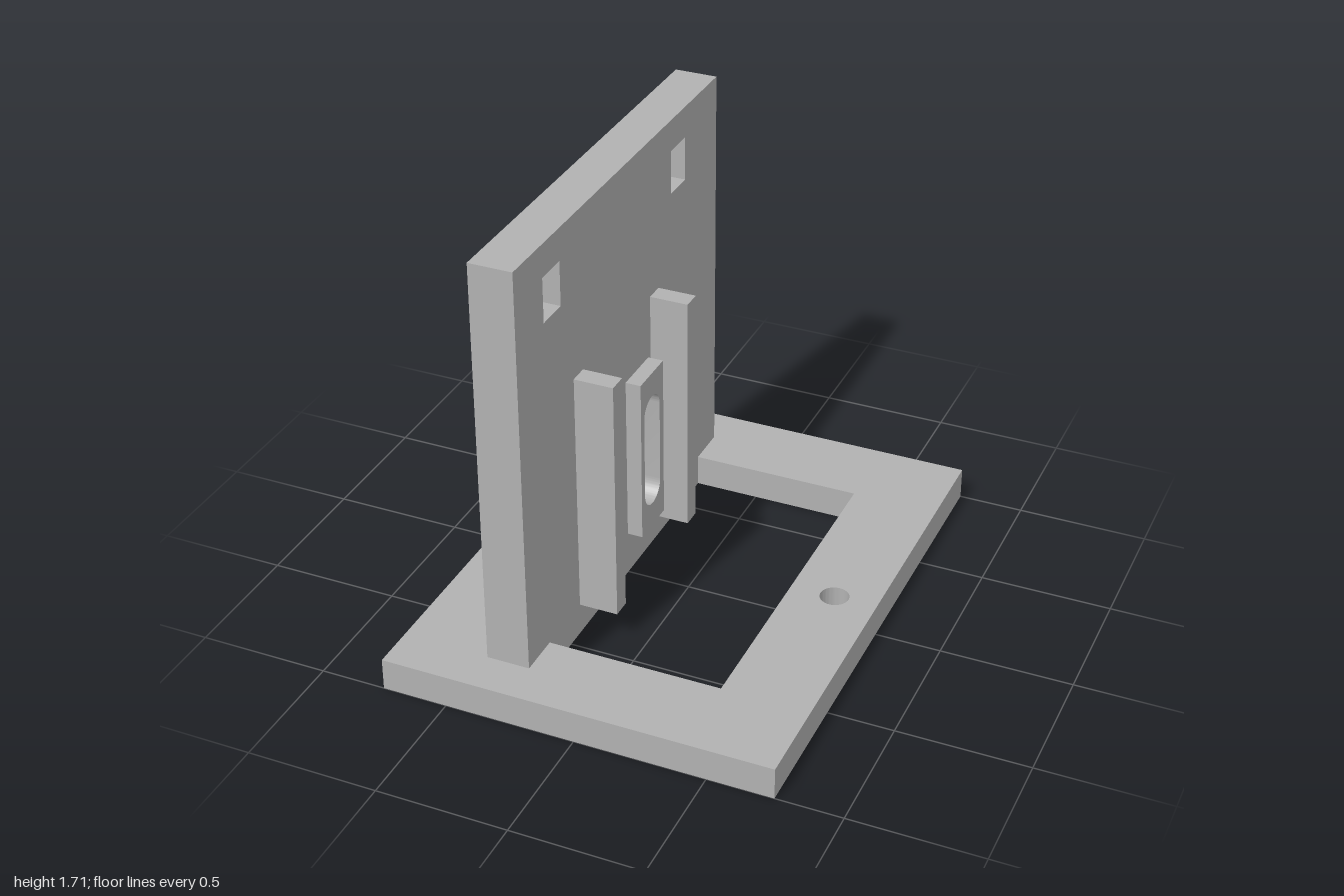
import * as THREE from 'three';
import { toCreasedNormals } from 'three/addons/utils/BufferGeometryUtils.js';

// Rectangle outline from two corners
function rect(target, u0, v0, u1, v1) {
  target.moveTo(u0, v0);
  target.lineTo(u1, v0);
  target.lineTo(u1, v1);
  target.lineTo(u0, v1);
  target.closePath();
  return target;
}

// Upright slot with round ends
function slot(u, v0, v1, r) {
  const p = new THREE.Path();
  p.moveTo(u + r, v0 + r);
  p.lineTo(u + r, v1 - r);
  p.absarc(u, v1 - r, r, 0, Math.PI, false);
  p.lineTo(u - r, v0 + r);
  p.absarc(u, v0 + r, r, Math.PI, Math.PI * 2, false);
  return p;
}

function extrude(shape, depth) {
  return new THREE.ExtrudeGeometry(shape, { depth, bevelEnabled: false, curveSegments: 24 });
}

export function createModel() {
  const model = new THREE.Group();
  model.name = 'mountingBracket';

  const grey = new THREE.MeshStandardMaterial({ color: 0xb2b2b2 });
  grey.name = 'grey';

  const add = (name, geometry) => {
    const mesh = new THREE.Mesh(toCreasedNormals(geometry, 0.6), grey);
    mesh.name = name;
    model.add(mesh);
  };

  const baseTop = 0.125;
  const wallBack = -0.415;
  const wallFace = -0.25;

  // Base plate with a rectangular opening and two bolt holes, drawn in x and -z
  const base = rect(new THREE.Shape(), -0.75, -1, 0.75, 1);
  base.holes.push(rect(new THREE.Path(), wallFace, -0.67, 0.415, 0.67));
  for (const x of [-0.585, 0.585]) {
    base.holes.push(new THREE.Path().absarc(x, 0, 0.055, 0, Math.PI * 2, false));
  }
  add('basePlate', extrude(base, baseTop).rotateX(-Math.PI / 2));

  // Upright parts are drawn in -z and y, then extruded along +x
  const upright = (name, shape, x0, x1) =>
    add(name, extrude(shape, x1 - x0).rotateY(Math.PI / 2).translate(x0, 0, 0));

  const slotHole = () => slot(0.098, 0.272, 0.742, 0.069);

  // Wall with two windows and the slot
  const wall = rect(new THREE.Shape(), -0.835, baseTop, 0.835, 1.71);
  wall.holes.push(rect(new THREE.Path(), -0.63, 1.417, -0.502, 1.588));
  wall.holes.push(rect(new THREE.Path(), 0.414, 1.417, 0.542, 1.588));
  wall.holes.push(slotHole());
  upright('wall', wall, wallBack, wallFace);

  // Raised pad around the slot
  const pad = rect(new THREE.Shape(), 0, 0.175, 0.2, 0.84);
  pad.holes.push(slotHole());
  upright('slotPad', pad, wallFace, -0.19);

  // Guide rails on either side of the pad
  for (const [name, z] of [['frontRail', 0.383], ['backRail', -0.259]]) {
    add(name, new THREE.BoxGeometry(0.15, 0.96, 0.075)
      .translate(wallFace + 0.075, baseTop + 0.48, z));
  }

  return model;
}
